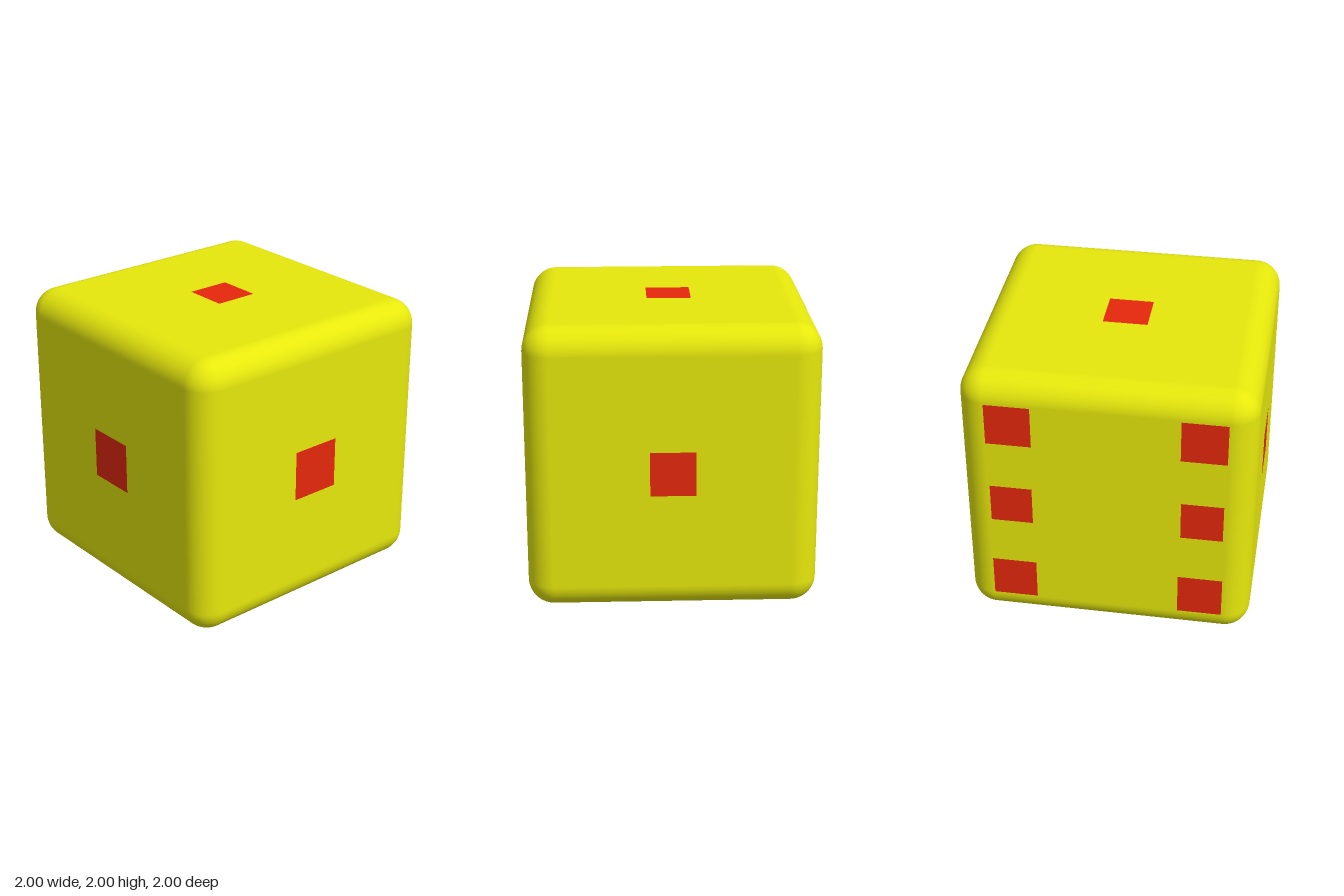
import * as THREE from 'three';
import { RoundedBoxGeometry } from 'three/addons/geometries/RoundedBoxGeometry.js';

const HALF = 1;
const LIFT = 0.002; // pips sit just proud of the body

export function createModel() {
  const root = new THREE.Group();
  root.name = 'die';
  const yellow = new THREE.MeshStandardMaterial({ color: 0xe6e80c });
  const red = new THREE.MeshStandardMaterial({ color: 0xe6280c });

  // Cube with rounded edges
  const size = 2 * (HALF - LIFT);
  const body = new THREE.Mesh(new RoundedBoxGeometry(size, size, size, 8, 0.18), yellow);
  body.name = 'body';
  body.position.y = HALF;
  root.add(body);

  // Each face is a group turned outwards; pips are [u, v, size] on it
  const addFace = (name, rx, ry, pips) => {
    const face = new THREE.Group();
    face.name = name;
    face.position.y = HALF;
    face.rotation.set(rx, ry, 0);
    for (const [u, v, s] of pips) {
      const pip = new THREE.Mesh(new THREE.PlaneGeometry(s, s), red);
      pip.name = 'pip';
      pip.position.set(u, v, HALF);
      face.add(pip);
    }
    root.add(face);
  };

  // Six pips in two columns for the back
  const six = [];
  for (const u of [-0.655, 0.655]) {
    for (const v of [-0.655, 0, 0.655]) six.push([u, v, v === 0 ? 0.29 : 0.31]);
  }

  const q = Math.PI / 2;
  addFace('frontPips', 0, 0, [[0, 0, 0.36]]);
  addFace('backPips', 0, Math.PI, six);
  addFace('leftPips', 0, q, [[0, 0, 0.31]]);
  addFace('rightPips', 0, -q, [[0, 0, 0.36]]);
  addFace('topPips', -q, 0, [[0, 0, 0.31]]);
  addFace('bottomPips', q, 0, [[0, 0, 0.3]]);

  return root;
}
